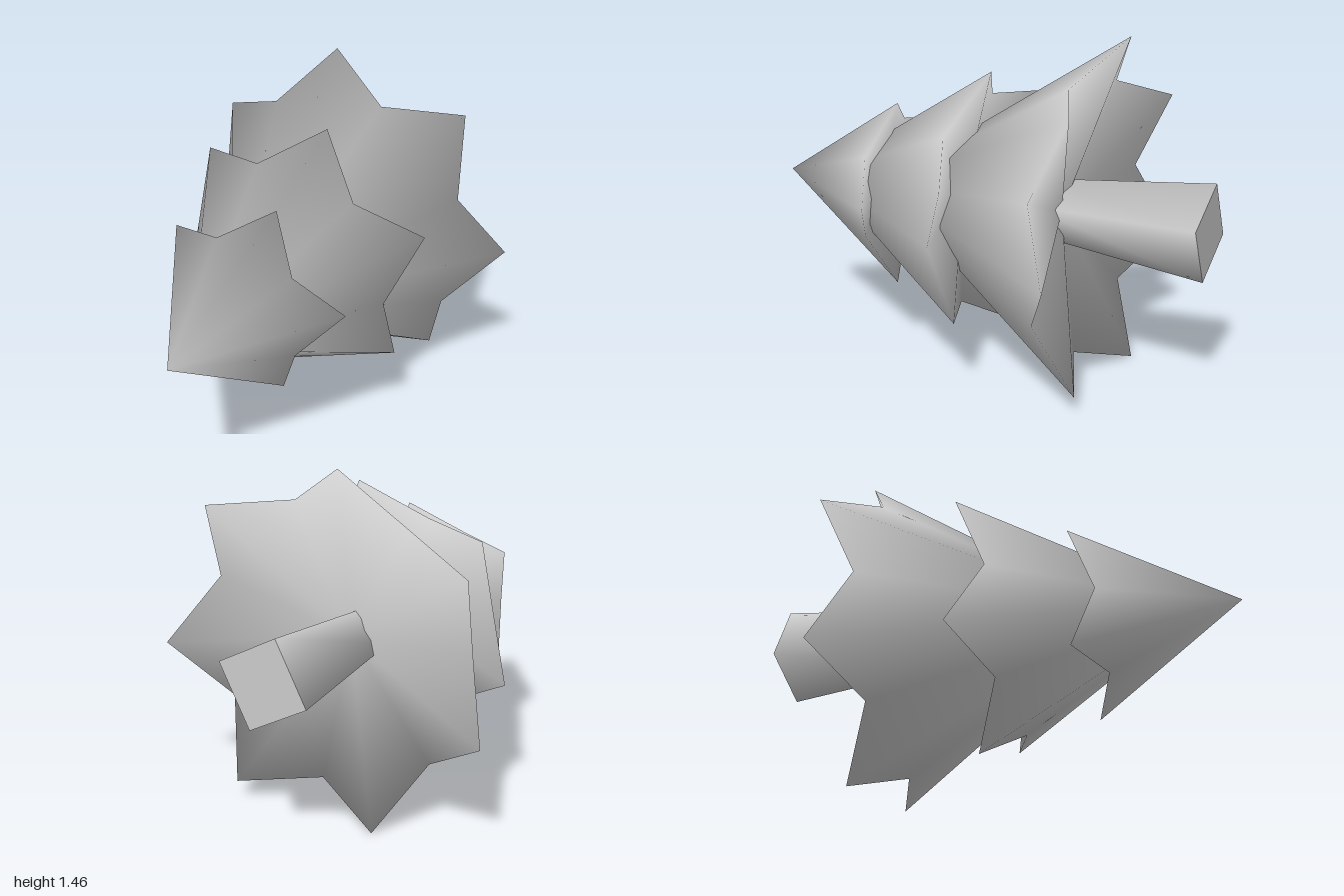
import * as THREE from 'three';

const CX = -0.01, CY = 0.716; // axis of the tree, lying along z

// Smooth normals: every face around a vertex counts equally
function smoothNormals(geo) {
  const p = geo.attributes.position, idx = geo.index.array;
  const sums = Array.from({ length: p.count }, () => new THREE.Vector3());
  const a = new THREE.Vector3(), b = new THREE.Vector3(), c = new THREE.Vector3();
  for (let f = 0; f < idx.length; f += 3) {
    a.fromBufferAttribute(p, idx[f]);
    b.fromBufferAttribute(p, idx[f + 1]).sub(a);
    c.fromBufferAttribute(p, idx[f + 2]).sub(a);
    const n = b.cross(c).normalize();
    for (let k = 0; k < 3; k++) sums[idx[f + k]].add(n);
  }
  const normals = sums.flatMap(v => v.normalize().toArray());
  geo.setAttribute('normal', new THREE.Float32BufferAttribute(normals, 3));
}

// Star-rimmed cone with a shallow hollow underneath
function tierGeometry({ points, start, apex, tipZ, tipR, valleyZ, valleyR, hollowZ }) {
  const n = points * 2;
  const pos = [0, 0, apex, 0, 0, hollowZ], index = [];
  for (let i = 0; i < n; i++) {
    const a = THREE.MathUtils.degToRad(start) + (i / n) * Math.PI * 2;
    const tip = i % 2 === 0, r = tip ? tipR : valleyR;
    pos.push(r * Math.cos(a), r * Math.sin(a), tip ? tipZ : valleyZ);
    const p = 2 + i, q = 2 + (i + 1) % n;
    index.push(0, p, q, 1, q, p);
  }
  const geo = new THREE.BufferGeometry();
  geo.setAttribute('position', new THREE.Float32BufferAttribute(pos, 3));
  geo.setIndex(index);
  smoothNormals(geo);
  return geo;
}

export function createModel() {
  const model = new THREE.Group();
  model.name = 'pineTree';
  const grey = new THREE.MeshStandardMaterial({ color: 0xcccccc });
  grey.name = 'lightGrey';

  // Branch tiers, from the top of the tree down
  const tiers = [
    { name: 'topTier', points: 5, start: 2, apex: 1, tipZ: 0.36, tipR: 0.425, valleyZ: 0.455, valleyR: 0.3, hollowZ: 0.51 },
    { name: 'middleTier', points: 6, start: 19, apex: 0.85, tipZ: -0.085, tipR: 0.6, valleyZ: 0.04, valleyR: 0.455, hollowZ: 0.11 },
    { name: 'bottomTier', points: 7, start: -5.4, apex: 0.53, tipZ: -0.605, tipR: 0.75, valleyZ: -0.46, valleyR: 0.6, hollowZ: -0.36 },
  ];
  for (const t of tiers) {
    const mesh = new THREE.Mesh(tierGeometry(t), grey);
    mesh.name = t.name;
    mesh.position.set(CX, CY, 0);
    model.add(mesh);
  }

  // Square trunk, widening towards the foot at the back
  const trunkGeo = new THREE.CylinderGeometry(0.12, 0.2, 0.75, 4);
  trunkGeo.rotateX(Math.PI / 2);
  trunkGeo.rotateZ(THREE.MathUtils.degToRad(18));
  const trunk = new THREE.Mesh(trunkGeo, grey);
  trunk.name = 'trunk';
  trunk.position.set(CX - 0.005, CY, -0.625);
  model.add(trunk);

  return model;
}
